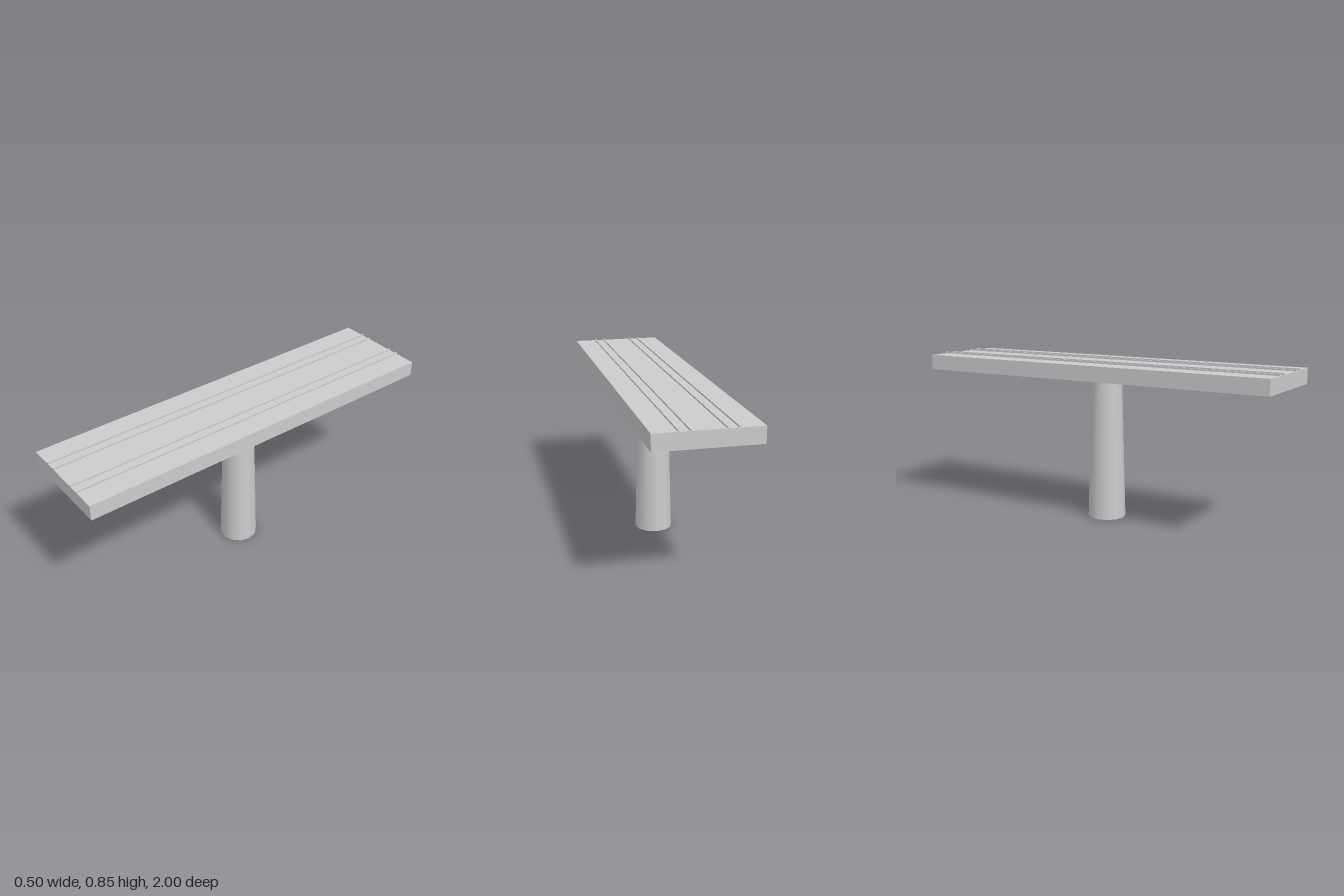
import * as THREE from 'three';

export function createModel() {
  const group = new THREE.Group();
  const material = new THREE.MeshStandardMaterial({ color: 0xcccccc });

  const add = (name, geometry, x, y) => {
    const mesh = new THREE.Mesh(geometry, material);
    mesh.name = name;
    mesh.position.set(x, y, 0);
    group.add(mesh);
  };

  // Tapered support column
  add('pillar', new THREE.CylinderGeometry(0.08, 0.1, 0.76, 12), 0, 0.38);

  // Flat bridge deck
  add('deck', new THREE.BoxGeometry(0.5, 0.08, 2), 0, 0.8);

  // Two tracks, each with an inner and an outer rail
  const railGeometry = new THREE.BoxGeometry(0.008, 0.008, 2);
  for (const [side, sign] of [['left', 1], ['right', -1]]) {
    add(`${side}InnerRail`, railGeometry, sign * 0.08, 0.844);
    add(`${side}OuterRail`, railGeometry, sign * 0.132, 0.844);
  }

  return group;
}
